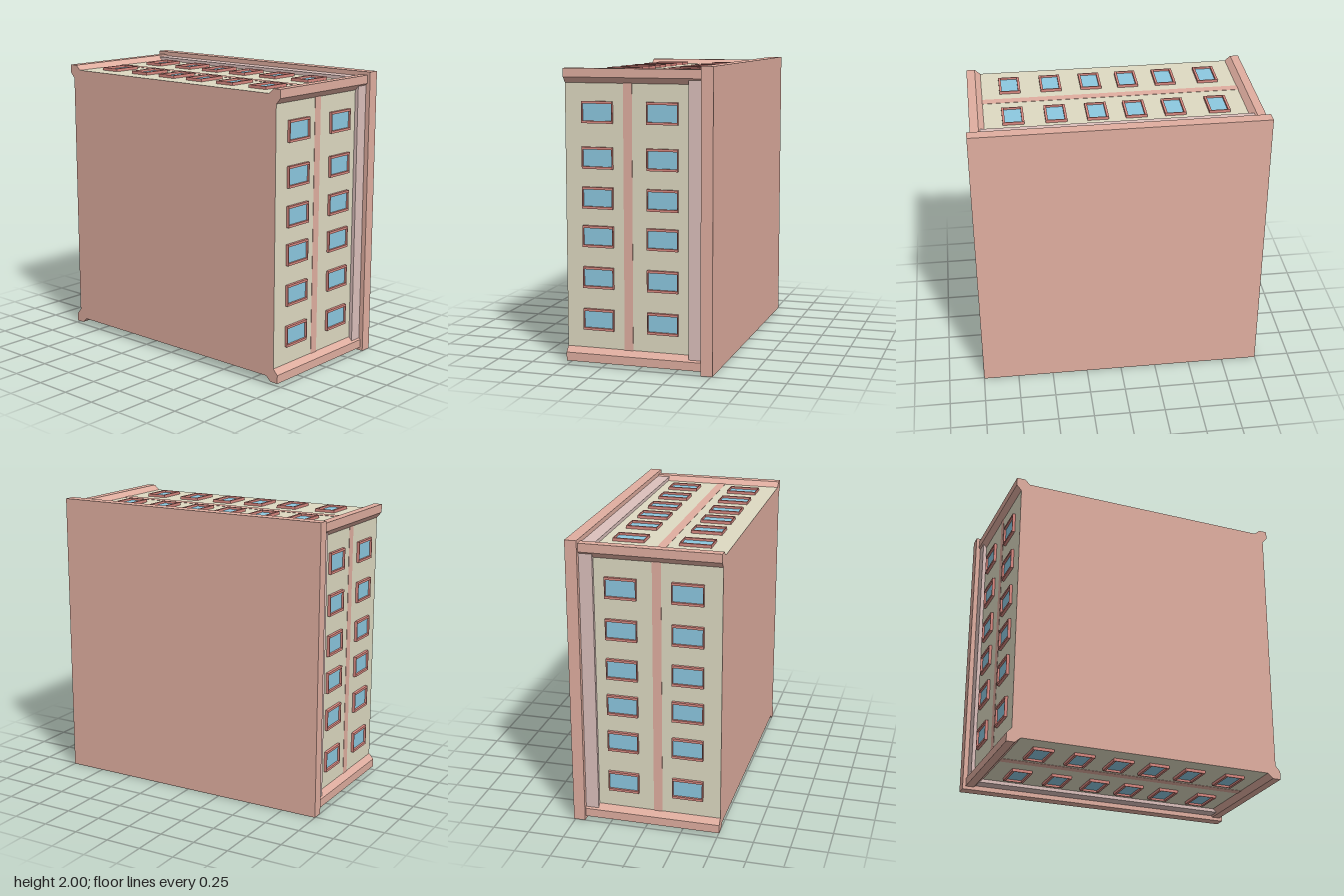
import * as THREE from 'three';

const mat = (color) => new THREE.MeshStandardMaterial({ color });

export function createModel() {
  const model = new THREE.Group();
  const wallMat = mat(0xdedac2), trimMat = mat(0xe0aea0), corniceMat = mat(0xdcc0bc);
  const frameMat = mat(0xd98880), glassMat = mat(0x8cc8e0);

  const add = (parent, name, geometry, material, x = 0, y = 0, z = 0) => {
    const mesh = new THREE.Mesh(geometry, material);
    mesh.name = name;
    mesh.position.set(x, y, z);
    parent.add(mesh);
    return mesh;
  };

  const front = 0.51, eave = -0.43, back = -0.51, wall = 0.944;

  // The building lies on its back: everything is laid out around the z axis
  const building = new THREE.Group();
  building.name = 'building';
  building.position.y = 1;
  model.add(building);

  // Main block: cream walls, pink base face
  add(building, 'walls', new THREE.BoxGeometry(2 * wall, 2 * wall, front - eave),
    [wallMat, wallMat, wallMat, wallMat, trimMat, trimMat], 0, 0, (front + eave) / 2);

  // Roof slab
  add(building, 'roof', new THREE.BoxGeometry(2, 2, eave - back), trimMat, 0, 0, (eave + back) / 2);

  // Corner pilaster with chamfered flanks
  const o = 0.978;
  const pilasterShape = new THREE.Shape([
    [o, o], [0.92, o], [0.88, wall - 0.002], [0.88, 0.88], [wall - 0.002, 0.88], [o, 0.92],
  ].map(([x, y]) => new THREE.Vector2(x, y)));
  const pilasterGeo = new THREE.ExtrudeGeometry(pilasterShape, { depth: front - eave, bevelEnabled: false });

  // Window frame ring, turned to project along +y
  const w = 0.144, h = 0.212;
  const rect = (C, a, b) => new C([[-a, -b], [a, -b], [a, b], [-a, b]]
    .map(([x, y]) => new THREE.Vector2(x / 2, y / 2)));
  const ring = rect(THREE.Shape, w, h);
  ring.holes.push(rect(THREE.Path, w - 0.032, h - 0.012));
  const frameGeo = new THREE.ExtrudeGeometry(ring, { depth: 0.022, bevelEnabled: false });
  frameGeo.rotateX(-Math.PI / 2);
  const glassGeo = new THREE.BoxGeometry(w - 0.03, 0.01, h - 0.01);

  const columns = [-0.693, -0.394, -0.13, 0.127, 0.404, 0.688];
  const rows = [-0.16, 0.285];

  // One side per quarter turn
  for (let i = 0; i < 4; i++) {
    const side = new THREE.Group();
    side.name = 'side' + (i + 1);
    side.rotation.z = i * Math.PI / 2;
    building.add(side);

    add(side, 'cornerPilaster', pilasterGeo, trimMat, 0, 0, eave);
    add(side, 'cornice', new THREE.BoxGeometry(1.82, 0.04, 0.09), corniceMat, 0, 0.948, eave + 0.045);
    add(side, 'floorBand', new THREE.BoxGeometry(1.77, 0.01, 0.06), trimMat, 0, wall - 0.003, 0.078);

    for (const z of rows) for (const x of columns) {
      add(side, 'windowFrame', frameGeo, frameMat, x, wall - 0.002, z);
      add(side, 'windowGlass', glassGeo, glassMat, x, wall, z);
    }
  }
  return model;
}
